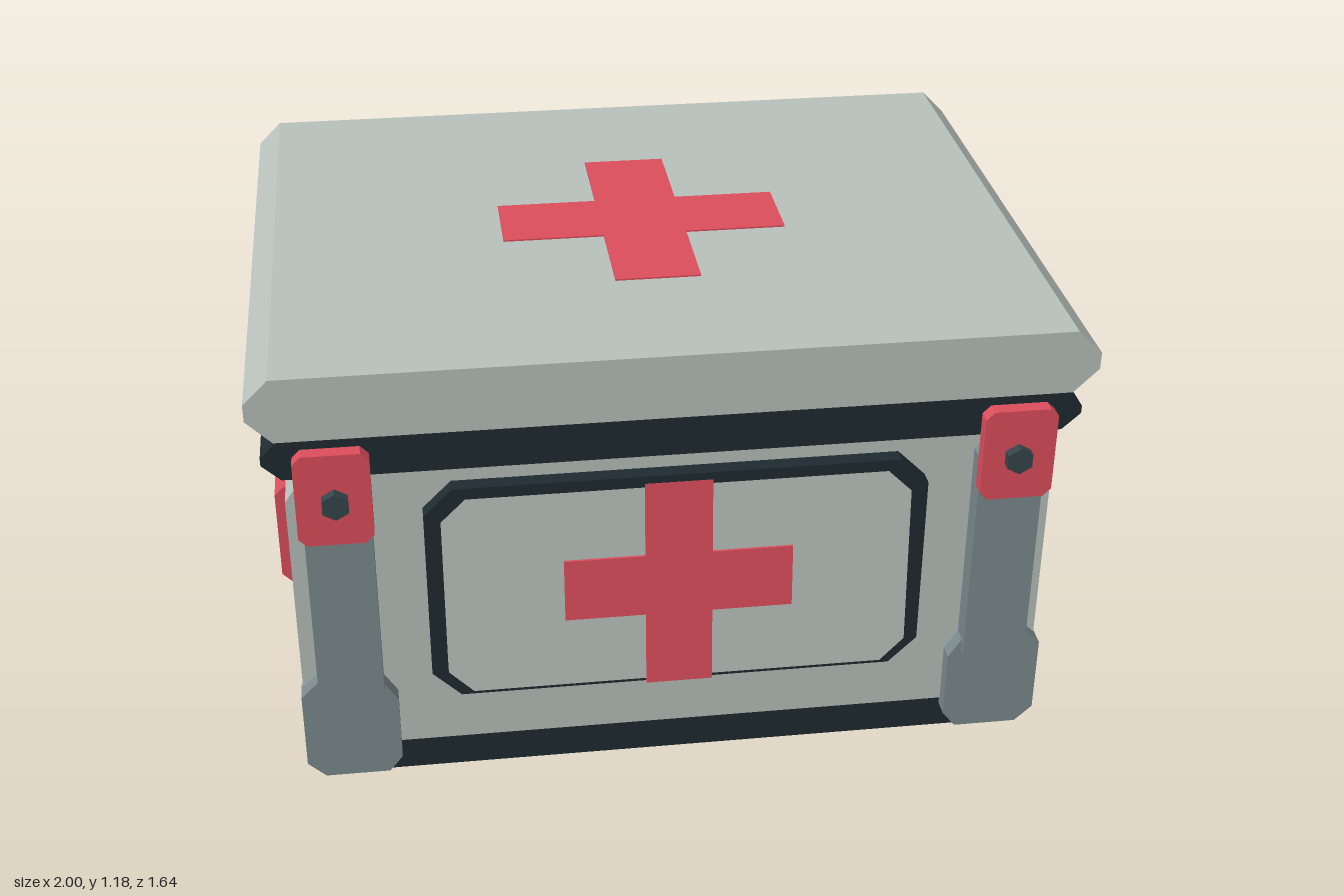
import * as THREE from 'three';

const mat = (color) => new THREE.MeshStandardMaterial({ color, flatShading: true });

export function createModel() {
  const group = new THREE.Group();
  const light = mat(0xb8c1bb), dark = mat(0x1e2b31), grey = mat(0x7c8a8e);
  const red = mat(0xdd4e5c), slate = mat(0x36454c);

  const add = (name, geometry, material, parent = group) => {
    const mesh = new THREE.Mesh(geometry, material);
    mesh.name = name;
    parent.add(mesh);
    return mesh;
  };
  const outline = (points) => new THREE.Shape(points.map(([x, y]) => new THREE.Vector2(x, y)));
  // Extrude an x-y outline from z0 to z1
  const slab = (shape, z0, z1) =>
    new THREE.ExtrudeGeometry(shape, { depth: z1 - z0, bevelEnabled: false }).translate(0, 0, z0);
  // Rectangle with cut corners
  const cutRect = (x0, x1, y0, y1, c) => [
    [x0 + c, y0], [x1 - c, y0], [x1, y0 + c], [x1, y1 - c],
    [x1 - c, y1], [x0 + c, y1], [x0, y1 - c], [x0, y0 + c]];
  const box = (x0, x1, y0, y1, z0, z1) => new THREE.BoxGeometry(x1 - x0, y1 - y0, z1 - z0)
    .translate((x0 + x1) / 2, (y0 + y1) / 2, (z0 + z1) / 2);
  // Cross with half length l and half arm width w
  const cross = (l, w) => outline([
    [-w, -l], [w, -l], [w, -w], [l, -w], [l, w], [w, w],
    [w, l], [-w, l], [-w, w], [-l, w], [-l, -w], [-w, -w]]);

  // Case, base, seal and lid
  add('body', slab(outline([[-0.93, 0.09], [0.93, 0.09], [0.93, 0.82], [0.87, 0.905],
    [-0.87, 0.905], [-0.93, 0.82]]), -0.705, 0.705), light);
  add('base', slab(outline([[-0.88, 0], [0.88, 0], [0.92, 0.055], [0.92, 0.09],
    [-0.92, 0.09], [-0.92, 0.055]]), -0.7, 0.7), dark);
  add('seal', slab(outline([[-0.93, 0.903], [0.93, 0.903], [0.975, 0.945], [0.975, 0.965],
    [0.93, 1.01], [-0.93, 1.01], [-0.975, 0.965], [-0.975, 0.945]]), -0.74, 0.74), dark);
  add('lid', slab(outline(cutRect(-1, 1, 1.017, 1.18, 0.06)), -0.763, 0.763), light);
  add('lidCross', slab(cross(0.362, 0.106), 0, 0.006).rotateX(-Math.PI / 2).translate(0, 1.178, 0), red);

  // Front panel, leaning out slightly at its foot
  const frame = outline(cutRect(-0.61, 0.61, 0.25, 0.85, 0.07));
  frame.holes.push(new THREE.Path(cutRect(-0.57, 0.57, 0.28, 0.82, 0.06)
    .map(([x, y]) => new THREE.Vector2(x, y))));
  add('frontFrame', slab(frame, 0.7, 0.745), dark);
  const lean = (geometry) => {
    const p = geometry.attributes.position;
    for (let i = 0; i < p.count; i++) {
      if (p.getZ(i) > 0.72) p.setZ(i, p.getZ(i) + 0.035 * (0.82 - p.getY(i)) / 0.54);
    }
    geometry.computeVertexNormals();
    return geometry;
  };
  add('frontPanel', lean(slab(outline(cutRect(-0.57, 0.57, 0.28, 0.82, 0.06)), 0.7, 0.74)), light);
  add('frontCross', lean(slab(cross(0.28, 0.082).clone(), 0, 0.046).translate(0, 0.55, 0.7)), red);

  // Side strips and red side panels
  for (const s of [1, -1]) {
    const side = new THREE.Group();
    side.name = s > 0 ? 'leftSide' : 'rightSide';
    side.rotation.y = s > 0 ? 0 : Math.PI;
    group.add(side);
    add('sideStrip', slab(outline([[0.85, 0.03], [0.89, 0.03], [0.934, 0.07], [0.934, 0.25],
      [0.85, 0.25]]), -0.705, 0.705), grey, side);
    add('sidePanel', slab(outline([[0.92, 0.392], [0.952, 0.392], [0.975, 0.415], [0.975, 0.652],
      [0.952, 0.675], [0.92, 0.675]]), -0.4, 0.4), red, side);
  }

  // Four corners: foot bracket, post, latch and bolt
  for (const sz of [1, -1]) for (const sx of [1, -1]) {
    const corner = new THREE.Group();
    corner.name = (sz > 0 ? 'front' : 'back') + (sx > 0 ? 'Left' : 'Right') + 'Corner';
    group.add(corner);
    const mirror = (points) => outline(points.map(([x, y]) => [sx * x, y]));
    const zSlab = (shape, a, b) => (sz > 0 ? slab(shape, a, b) : slab(shape, -b, -a));
    add('footBracket', zSlab(mirror([[0.73, 0.028], [0.89, 0.028], [0.934, 0.07], [0.934, 0.275],
      [0.885, 0.325], [0.745, 0.325], [0.697, 0.25], [0.697, 0.07]]), 0.69, 0.745), grey, corner);
    add('post', zSlab(mirror(cutRect(0.73, 0.89, 0.24, 0.875, 0.03)), 0.69, 0.763), grey, corner);
    add('latch', zSlab(mirror(cutRect(0.725, 0.902, 0.75, 0.992, 0.02)), 0.757, 0.793), red, corner);
    add('bolt', new THREE.CylinderGeometry(0.035, 0.035, 0.04, 6).rotateX(Math.PI / 2)
      .translate(sx * 0.81, 0.867, sz * 0.798), slate, corner);
  }

  // Back handle on its plate
  add('handlePlate', slab(outline(cutRect(-0.42, 0.42, 0.48, 0.79, 0.06)), -0.735, -0.7), dark);
  add('handleGrip', slab(outline(cutRect(-0.325, 0.325, 0.655, 0.72, 0.015)), -0.802, -0.762), grey);
  for (const s of [1, -1]) {
    add('handleLeg', box(s * 0.285 - 0.035, s * 0.285 + 0.035, 0.545, 0.715, -0.787, -0.73), grey);
    add('hinge', slab(outline(cutRect(s * 0.637 - 0.1, s * 0.637 + 0.1, 0.99, 1.1, 0.025)), -0.77, -0.69), slate);
  }
  return group;
}
